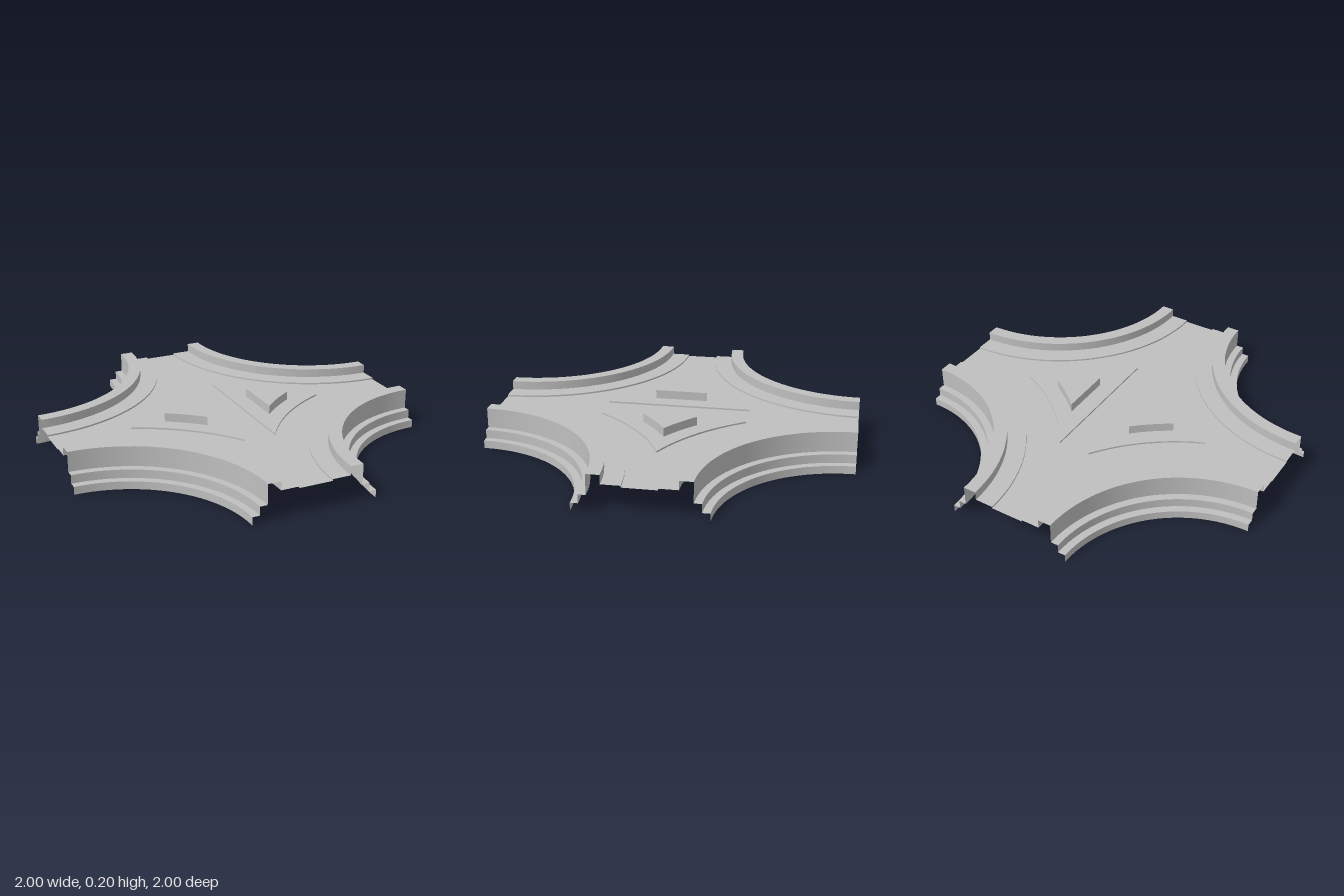
import * as THREE from 'three';

const ROAD_Y = 0.143, WALK_Y = 0.152, CURB_Y = 0.2;
const SEGMENTS = 24;

// Curved triangle: straight base at x = x0, two concave sides of the given radius about (1, 1) and (1, -1)
function trianglePoints(x0, radius) {
  const z0 = 1 - Math.sqrt(radius * radius - (1 - x0) ** 2);
  const apex = 1 - Math.sqrt(radius * radius - 1);
  const from = Math.atan2(z0 - 1, x0 - 1);
  const to = Math.atan2(-1, apex - 1);
  const n = 12, side = [];
  for (let i = 0; i <= n; i++) {
    const a = from + (to - from) * i / n;
    side.push(new THREE.Vector2(1 + radius * Math.cos(a), 1 + radius * Math.sin(a)));
  }
  side[n].y = 0;
  const mirrored = side.slice(0, n).reverse().map(p => new THREE.Vector2(p.x, -p.y));
  return [...side, ...mirrored]; // clockwise
}

// Flat horizontal surface at height y
function flatSurface(shape, y) {
  return new THREE.ShapeGeometry(shape, SEGMENTS / 2).rotateX(-Math.PI / 2).translate(0, y, 0);
}

// Open vertical wall around a clockwise outline
function wall(points, y0, y1) {
  const v = [];
  points.forEach((a, i) => {
    const b = points[(i + 1) % points.length];
    const A = [a.x, y0, -a.y], B = [b.x, y0, -b.y];
    const C = [b.x, y1, -b.y], D = [a.x, y1, -a.y];
    v.push(...A, ...C, ...B, ...A, ...D, ...C);
  });
  const g = new THREE.BufferGeometry();
  g.setAttribute('position', new THREE.Float32BufferAttribute(v, 3));
  g.computeVertexNormals();
  return g;
}

export function createModel() {
  const model = new THREE.Group();
  model.name = 'roadCrossing';
  const stone = new THREE.MeshStandardMaterial({ color: 0xbfbfbf, side: THREE.DoubleSide });
  stone.name = 'grey stone';

  function add(parent, name, geometry) {
    const mesh = new THREE.Mesh(geometry, stone);
    mesh.name = name;
    parent.add(mesh);
  }

  const islandOutline = trianglePoints(0.09, 1.09);
  const blockOutline = trianglePoints(0.185, 1.18);

  // Road: cross with quarter-circle corners and openings for the two islands
  const road = new THREE.Shape();
  [[1, 1], [1, -1], [-1, -1], [-1, 1]].forEach(([x, z], i) => {
    const start = Math.PI - i * Math.PI / 2;
    road.absarc(x, z, 0.91, start, start + Math.PI / 2, false);
  });
  road.closePath();
  for (const s of [1, -1]) {
    road.holes.push(new THREE.Path(islandOutline.map(p => new THREE.Vector2(p.x * s, p.y * s))));
  }
  add(model, 'road', flatSurface(road, ROAD_Y));

  // Corner profile as [distance from the corner, height], from road edge to lowest step
  const profile = [
    ['pavementEdge', 0.91, ROAD_Y], ['pavement', 0.91, WALK_Y],
    ['parapetInnerFace', 0.81, WALK_Y], ['parapetTop', 0.81, CURB_Y],
    ['parapetOuterFace', 0.74, CURB_Y], ['upperLedge', 0.74, 0.09],
    ['upperRiser', 0.7, 0.09], ['lowerLedge', 0.7, 0.043],
    ['lowerRiser', 0.66, 0.043], ['end', 0.66, 0],
  ];
  for (let i = 0; i < 4; i++) {
    const corner = new THREE.Group();
    corner.name = 'cornerParapet';
    for (let j = 0; j < profile.length - 1; j++) {
      const [name, r0, y0] = profile[j], [, r1, y1] = profile[j + 1];
      const pts = [new THREE.Vector2(r0, y0), new THREE.Vector2(r1, y1)];
      add(corner, name, new THREE.LatheGeometry(pts, SEGMENTS, 0, Math.PI / 2));
    }
    // The arc opens towards +x and +z, so it starts at the back right corner
    const turn = i * Math.PI / 2;
    corner.position.set(-1, 0, -1).applyAxisAngle(new THREE.Vector3(0, 1, 0), turn);
    corner.rotation.y = turn;
    model.add(corner);
  }

  // Traffic islands, each with a raised hollow block
  for (let i = 0; i < 2; i++) {
    const island = new THREE.Group();
    island.name = 'trafficIsland';
    const base = new THREE.Shape(islandOutline);
    base.holes.push(new THREE.Path(blockOutline));
    add(island, 'islandTop', flatSurface(base, WALK_Y));
    add(island, 'islandEdge', wall(islandOutline, ROAD_Y, WALK_Y));
    add(island, 'blockTop', flatSurface(new THREE.Shape(blockOutline), CURB_Y));
    add(island, 'blockSides', wall(blockOutline, WALK_Y, CURB_Y));
    island.rotation.y = i * Math.PI;
    model.add(island);
  }
  return model;
}
